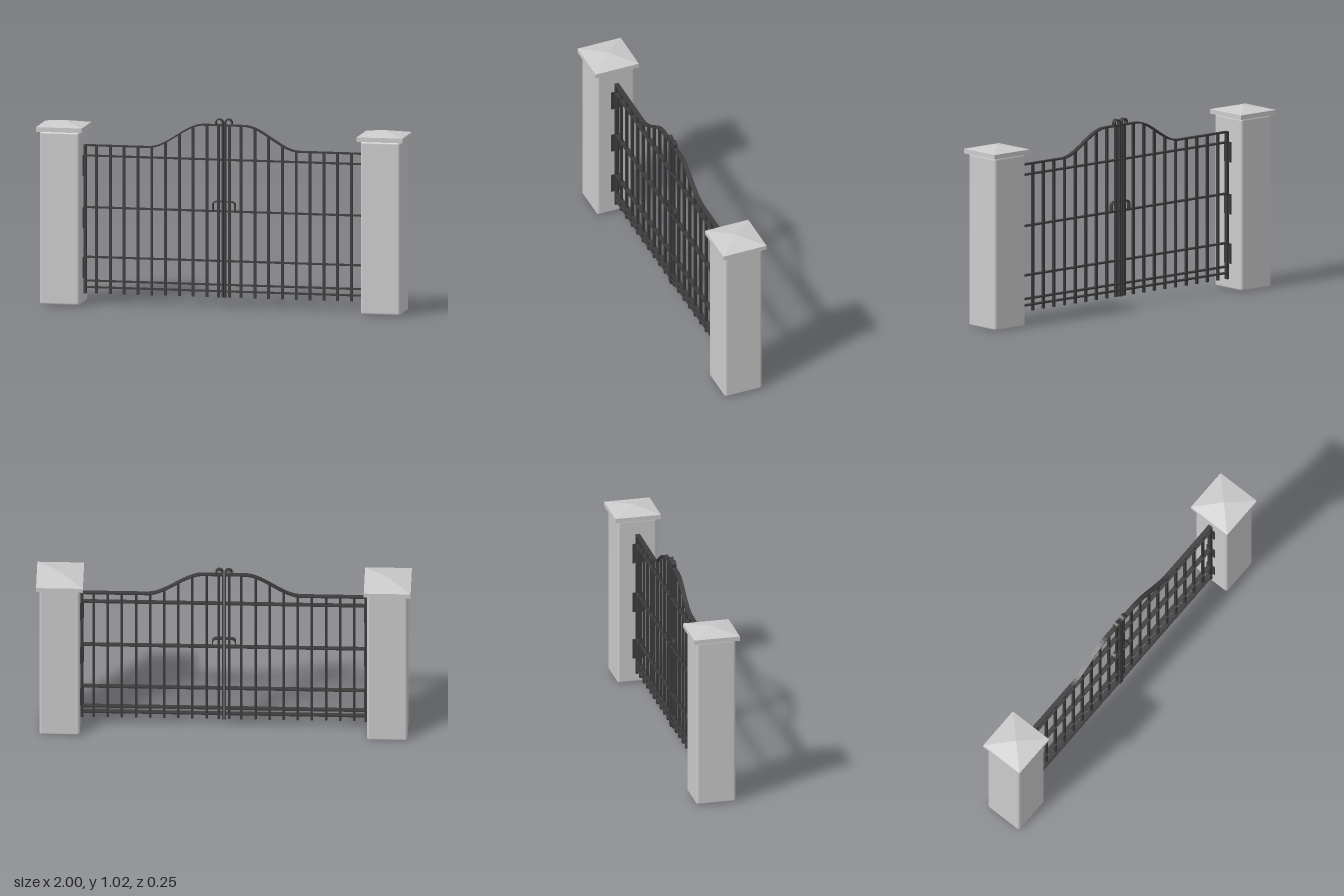
import * as THREE from 'three';
import { RoundedBoxGeometry } from 'three/addons/geometries/RoundedBoxGeometry.js';

const stone = new THREE.MeshStandardMaterial({ color: 0xcccccc });
const iron = new THREE.MeshStandardMaterial({ color: 0x3c3c3c });

function add(parent, name, geometry, material, x = 0, y = 0, z = 0) {
  const mesh = new THREE.Mesh(geometry, material);
  mesh.name = name;
  mesh.position.set(x, y, z);
  parent.add(mesh);
  return mesh;
}

// Flat bar bent in the xy plane, centred on z = 0
function ribbon(points, thickness, depth) {
  const outer = [], inner = [];
  points.forEach((p, i) => {
    const a = points[Math.max(i - 1, 0)], b = points[Math.min(i + 1, points.length - 1)];
    const d = b.clone().sub(a).normalize().multiplyScalar(thickness / 2);
    outer.push(new THREE.Vector2(p.x - d.y, p.y + d.x));
    inner.unshift(new THREE.Vector2(p.x + d.y, p.y - d.x));
  });
  const shape = new THREE.Shape([...outer, ...inner]);
  return new THREE.ExtrudeGeometry(shape, { depth, bevelEnabled: false }).translate(0, 0, -depth / 2);
}

// Height of the gate's top rail at distance x from the middle
const topHeight = (x) => 0.983 - 0.13 * THREE.MathUtils.smoothstep(x, 0.11, 0.41);

function makePillar(side) {
  const pillar = new THREE.Group();
  pillar.name = side > 0 ? 'leftPillar' : 'rightPillar';
  pillar.position.x = side * 0.874;
  add(pillar, 'pillarShaft', new RoundedBoxGeometry(0.216, 0.937, 0.216, 3, 0.014), stone, 0, 0.4685);
  add(pillar, 'capSlab', new THREE.BoxGeometry(0.25, 0.025, 0.25), stone, 0, 0.9475);
  const roof = new THREE.ConeGeometry(0.125 * Math.SQRT2, 0.025, 4, 1).toNonIndexed();
  roof.rotateY(Math.PI / 4);
  roof.computeVertexNormals();
  add(pillar, 'capRoof', roof, stone, 0, 0.9725);
  return pillar;
}

function makeLeaf(side) {
  const leaf = new THREE.Group();
  leaf.name = side > 0 ? 'leftGate' : 'rightGate';
  const bottom = 0.055;
  const bar = (name, x, top, width, depth) =>
    add(leaf, name, new THREE.BoxGeometry(width, top - bottom, depth), iron, side * x, (top + bottom) / 2);

  // Upright bars follow the curved top rail
  for (let i = 0; i < 9; i++) {
    const x = 0.093 + i * 0.0752;
    bar('uprightBar', x, topHeight(x), 0.013, 0.013);
  }
  bar('innerBar', 0.029, 0.983, 0.013, 0.013);
  bar('meetingStile', 0.0065, 1.0, 0.009, 0.024);
  bar('hingeStile', 0.757, 0.855, 0.014, 0.022);

  // Level rails
  for (const y of [0.088, 0.123, 0.251, 0.519, 0.797]) {
    add(leaf, 'rail', new THREE.BoxGeometry(0.755, 0.008, 0.025), iron, side * 0.3835, y);
  }

  // Curved top rail
  const curve = [];
  for (let i = 0; i <= 40; i++) {
    const x = 0.006 + (0.755 * i) / 40;
    curve.push(new THREE.Vector2(side * x, topHeight(x)));
  }
  add(leaf, 'topRail', ribbon(curve, 0.008, 0.025), iron);

  // Scroll that curls outward from the meeting stile
  const scroll = [];
  for (let i = 0; i <= 16; i++) {
    const a = Math.PI * (1 - (1.2 * i) / 16);
    scroll.push(new THREE.Vector2(side * (0.025 + 0.0185 * Math.cos(a)), 0.997 + 0.0185 * Math.sin(a)));
  }
  add(leaf, 'scroll', ribbon(scroll, 0.006, 0.025), iron);

  // Arched handle standing on the middle rail
  const handle = [new THREE.Vector2(side * 0.061, 0.52)];
  for (let i = 0; i <= 8; i++) {
    const a = (Math.PI / 2) * (i / 8);
    handle.push(new THREE.Vector2(side * (0.041 + 0.02 * Math.cos(a)), 0.551 + 0.02 * Math.sin(a)));
  }
  handle.push(new THREE.Vector2(side * 0.008, 0.571));
  add(leaf, 'handle', ribbon(handle, 0.006, 0.022), iron);

  // Hinges between stile and pillar
  for (const y of [0.745, 0.463, 0.195]) {
    const hinge = new THREE.Group();
    hinge.name = 'hinge';
    hinge.position.set(side * 0.757, y, 0);
    add(hinge, 'hingePlate', new THREE.BoxGeometry(0.006, 0.11, 0.056), iron, side * 0.007);
    add(hinge, 'hingeBarrel', new THREE.CylinderGeometry(0.011, 0.011, 0.11, 16), iron);
    leaf.add(hinge);
  }
  return leaf;
}

export function createModel() {
  const model = new THREE.Group();
  model.name = 'gate';
  for (const side of [1, -1]) model.add(makePillar(side), makeLeaf(side));
  return model;
}
